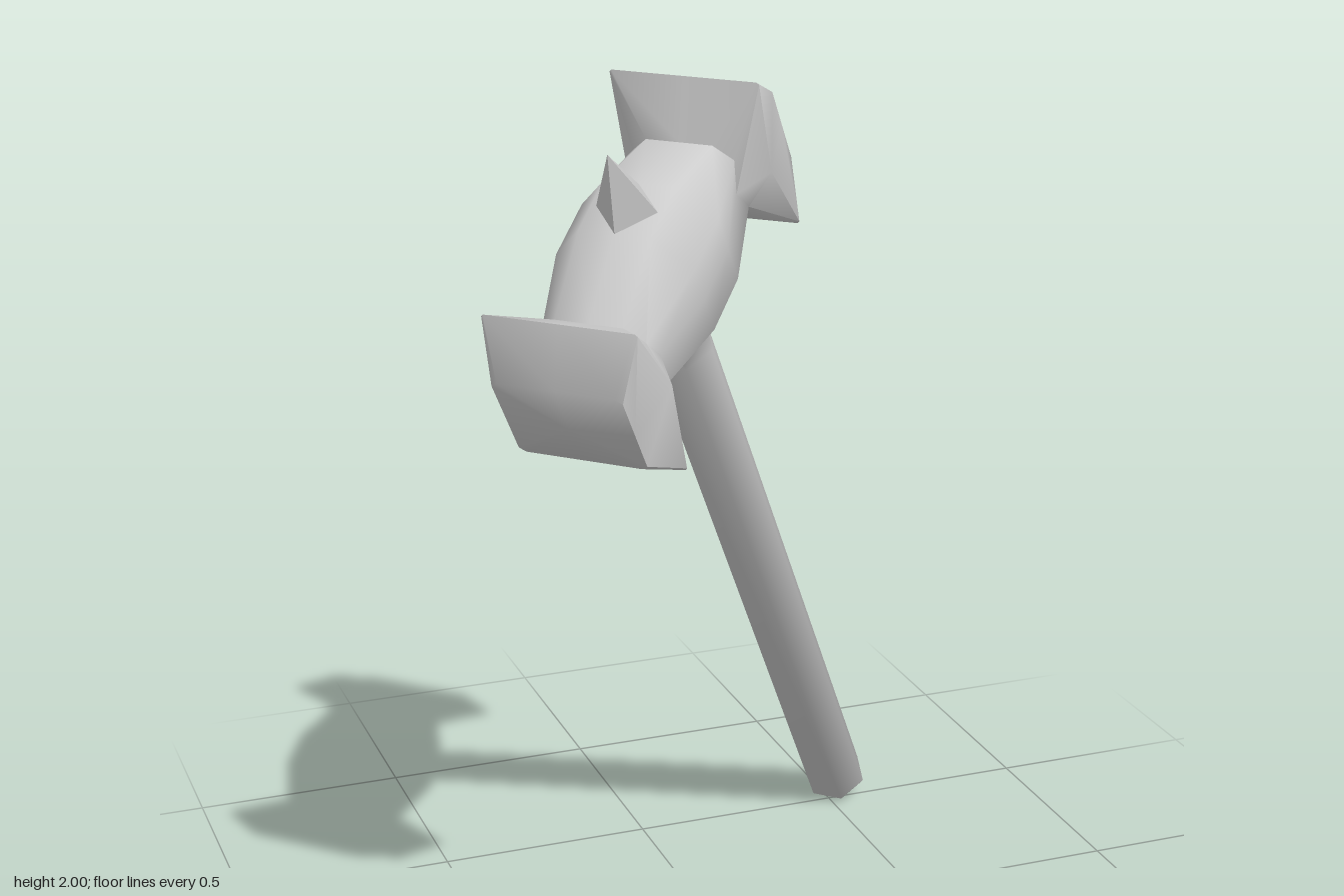
import * as THREE from 'three';
import { toCreasedNormals } from 'three/addons/utils/BufferGeometryUtils.js';

const material = new THREE.MeshStandardMaterial({ color: 0xcccccc, side: THREE.DoubleSide });

function part(name, geometry, crease) {
  const mesh = new THREE.Mesh(toCreasedNormals(geometry, crease), material);
  mesh.name = name;
  return mesh;
}

// Head cross-sections from the middle out: s = place along the head,
// h, w = half height and width, k = corner squareness, side = place of the side midpoints
const half = [
  { s: 0.07, h: 0.168, w: 0.153, k: 0.52, side: 0.07 },
  { s: 0.25, h: 0.105, w: 0.115, k: 0.65, side: 0.22 },
  { s: 0.34, h: 0.205, w: 0.168, k: 0.97, side: 0.29 },
  { s: 0.425, h: 0.105, w: 0.142, k: 0.9, side: 0.425 },
];

function headGeometry() {
  const mirrored = half.map((r) => ({ ...r, s: -r.s, side: -r.side })).reverse();
  const rings = [...mirrored, ...half];
  const positions = [];
  const index = [];
  const n = 12;
  for (const { s, h, w, k, side } of rings) {
    // Twelve points: three on each of the four sides
    const outline = [
      [h, -k * w, s], [h, 0, s], [h, k * w, s],
      [k * h, w, s], [0, w, side], [-k * h, w, s],
      [-h, k * w, s], [-h, 0, s], [-h, -k * w, s],
      [-k * h, -w, s], [0, -w, side], [k * h, -w, s],
    ];
    for (const [y, z, x] of outline) positions.push(x, y, z);
  }
  for (let r = 0; r < rings.length - 1; r++) {
    for (let i = 0; i < n; i++) {
      const a = r * n + i, b = r * n + (i + 1) % n;
      index.push(a, b, a + n, b, b + n, a + n);
    }
  }
  // Striking faces
  const last = (rings.length - 1) * n;
  const c = rings.length * n;
  positions.push(-0.432, 0, 0, 0.432, 0, 0);
  for (let i = 0; i < n; i++) {
    const j = (i + 1) % n;
    index.push(c, j, i, c + 1, last + i, last + j);
  }
  const g = new THREE.BufferGeometry();
  g.setAttribute('position', new THREE.Float32BufferAttribute(positions, 3));
  g.setIndex(index);
  return g;
}

export function createModel() {
  const hammer = new THREE.Group();
  hammer.name = 'hammer';

  hammer.add(part('head', headGeometry(), 1.0));

  // Six-sided handle, widening into a collar under the head
  const profile = [[0, -1.927], [0.06, -1.927], [0.075, -1.905], [0.073, -0.24], [0.075, -0.19], [0.1, -0.13], [0.1, -0.08]];
  const handle = part('handle', new THREE.LatheGeometry(profile.map(([x, y]) => new THREE.Vector2(x, y)), 6), 1.2);
  handle.position.z = 0.012;
  hammer.add(handle);

  // Spike on top of the head
  const spike = part('spike', new THREE.ConeGeometry(0.085, 0.19, 4, 1), 0.6);
  spike.position.y = 0.225;
  hammer.add(spike);

  // Lean the whole tool diagonally
  hammer.rotation.order = 'YXZ';
  hammer.rotation.set(0, Math.PI / 4, 0.583);
  hammer.position.set(-0.22, 1.645, 0.204);

  const model = new THREE.Group();
  model.name = 'leaningHammer';
  model.add(hammer);
  return model;
}
